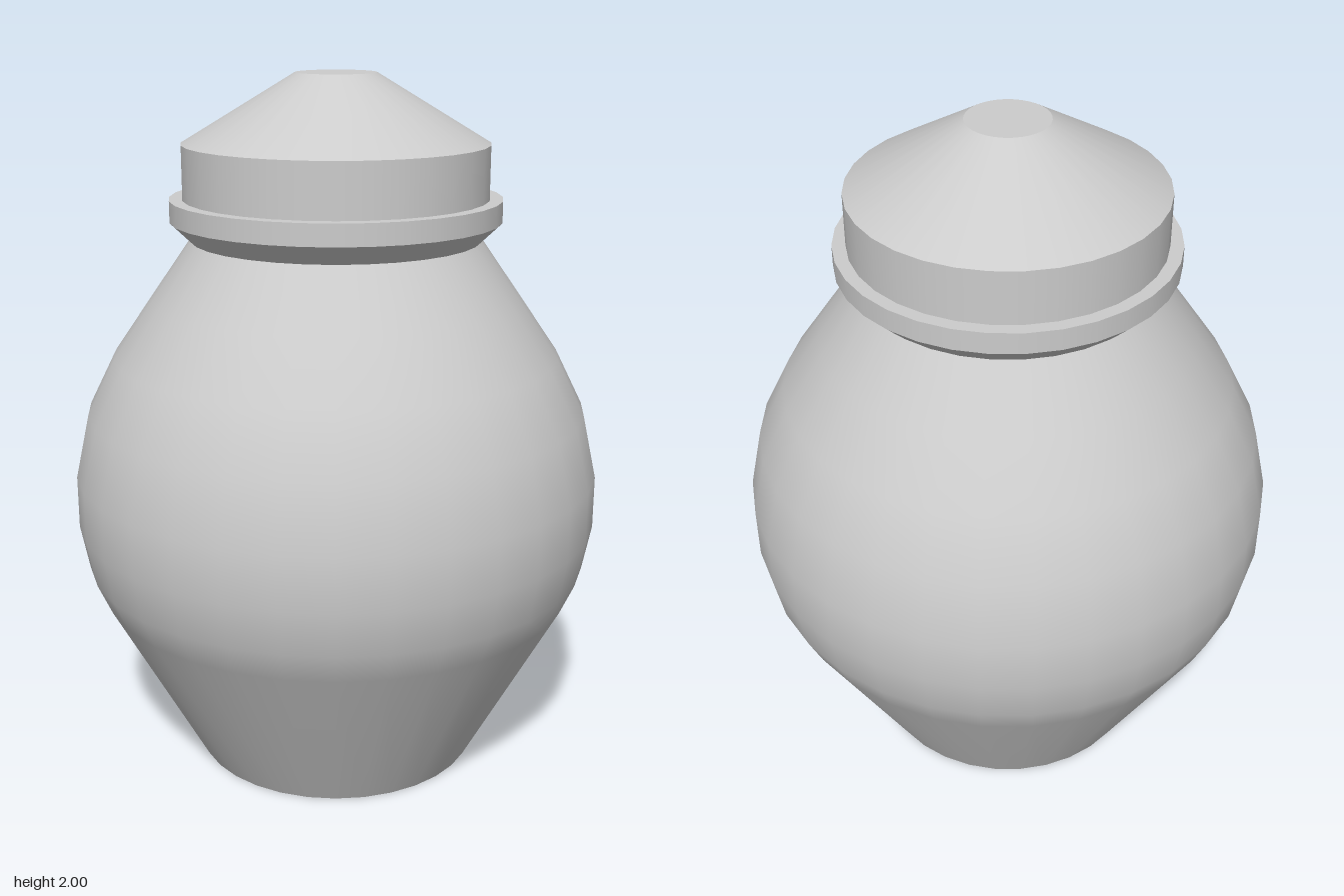
import * as THREE from 'three';
import { mergeGeometries } from 'three/addons/utils/BufferGeometryUtils.js';

const SIDES = 32;
const material = new THREE.MeshStandardMaterial({ color: 0xcccccc });

// Each band is a smooth [radius, height] profile running upwards on the outside;
// separate bands meet at a sharp edge.
function turned(name, bands) {
  const lathes = bands.map((band) =>
    new THREE.LatheGeometry(band.map(([r, y]) => new THREE.Vector2(r, y)), SIDES));
  const mesh = new THREE.Mesh(mergeGeometries(lathes), material);
  mesh.name = name;
  return mesh;
}

export function createModel() {
  const group = new THREE.Group();
  group.name = 'liddedJar';

  // Rounded belly standing on a flat base
  group.add(turned('body', [
    [[0, 0], [0.415, 0]],
    [[0.415, 0], [0.69, 0.51], [0.73, 0.6], [0.755, 0.73], [0.755, 0.88],
      [0.715, 1.06], [0.635, 1.22], [0.525, 1.38], [0.41, 1.545]],
  ]));

  // Flared rim at the neck
  group.add(turned('collar', [
    [[0.41, 1.545], [0.467, 1.6]],
    [[0.467, 1.6], [0.467, 1.66]],
    [[0.467, 1.66], [0.43, 1.66]],
  ]));

  // Straight-sided lid with a cut-off cone on top
  group.add(turned('lid', [
    [[0.43, 1.66], [0.43, 1.81]],
    [[0.43, 1.81], [0.113, 2]],
    [[0.113, 2], [0, 2]],
  ]));

  return group;
}
